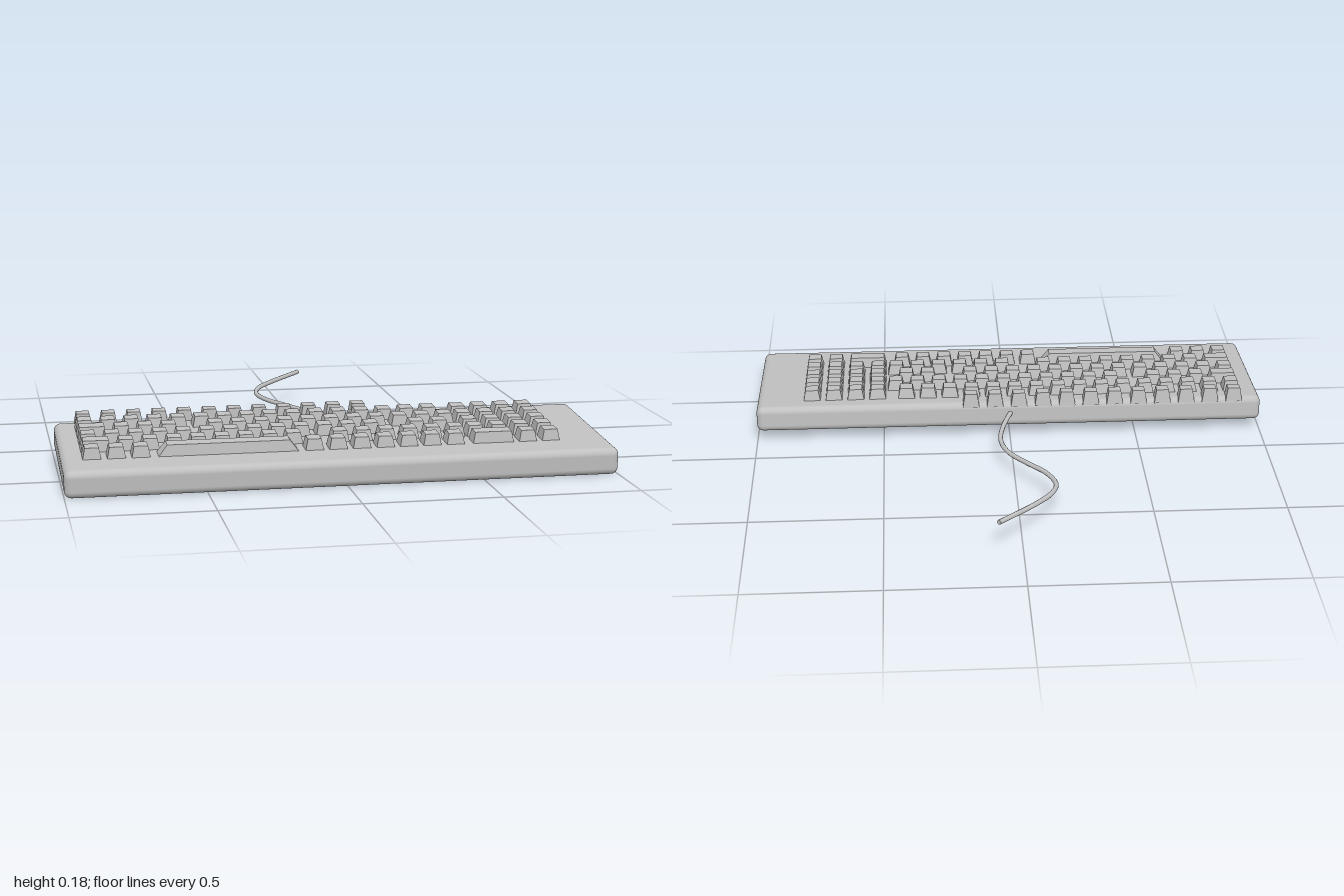
import * as THREE from 'three';
import { RoundedBoxGeometry } from 'three/addons/geometries/RoundedBoxGeometry.js';

const TILT = 0.07;      // body slopes up towards the back
const CENTRE_Z = 0.455;
const PITCH = 0.0867;   // distance between neighbouring keys

// Tapered key cap: a box whose top is drawn in at the sides and ends
function keyGeometry(width, depth, insetX = 0.011, insetZ = 0.01) {
  const base = 0.035, top = 0.09;
  const g = new THREE.BoxGeometry(width, top - base, depth);
  g.translate(0, (top + base) / 2, 0);
  const p = g.attributes.position;
  for (let i = 0; i < p.count; i++) {
    if (p.getY(i) < 0.06) continue;
    p.setX(i, p.getX(i) - Math.sign(p.getX(i)) * insetX);
    p.setZ(i, p.getZ(i) - Math.sign(p.getZ(i)) * insetZ);
  }
  g.computeVertexNormals();
  return g;
}

export function createModel() {
  const model = new THREE.Group();
  model.name = 'keyboard';
  const grey = new THREE.MeshStandardMaterial({ color: 0xc0c0c0 });
  grey.name = 'light grey plastic';

  const board = new THREE.Group();
  board.name = 'board';
  board.position.set(0, 0.071, CENTRE_Z);
  board.rotation.x = TILT;
  model.add(board);

  // Rounded case
  const body = new THREE.Mesh(new RoundedBoxGeometry(2, 0.1, 0.628, 4, 0.026), grey);
  body.name = 'case';
  board.add(body);

  const addKey = (name, geometry, x, z) => {
    const key = new THREE.Mesh(geometry, grey);
    key.name = name;
    key.position.set(x, 0, z - CENTRE_Z - 0.005);
    board.add(key);
  };
  const square = keyGeometry(0.072, 0.074);
  const run = (x, z, count) => {
    for (let i = 0; i < count; i++) addKey('key', square, x + i * PITCH, z);
  };

  // Row of small keys along the back edge
  const small = keyGeometry(0.066, 0.054, 0.009, 0.005);
  for (let i = 0; i < 12; i++) addKey('smallKey', small, -0.892 + i * 0.095, 0.169);

  // Main rows: z, then runs of [first x, count]
  const rows = [
    [0.253, [[-0.893, 16], [0.522, 4]]],
    [0.34, [[-0.764, 3], [-0.418, 11], [0.522, 4]]],
    [0.427, [[-0.893, 13], [0.32, 2], [0.522, 4]]],
    [0.513, [[-0.764, 8], [0.014, 6], [0.522, 4]]],
    [0.6, [[-0.893, 3], [-0.097, 7], [0.695, 2]]],
  ];
  for (const [z, runs] of rows) for (const [x, count] of runs) run(x, z, count);

  // Wide keys and the space bar
  const wide = keyGeometry(0.114, 0.074);
  for (const z of [0.34, 0.513]) addKey('wideKey', wide, -0.872, z);
  addKey('doubleKey', keyGeometry(0.158, 0.074), 0.565, 0.6);
  addKey('spaceBar', keyGeometry(0.525, 0.074, 0.042), -0.407, 0.6);

  // Cable winding away from the back
  const points = [
    [-0.02, 0.105, 0.18], [0, 0.098, 0.14], [0.032, 0.087, 0.05], [0.046, 0.08, -0.05],
    [0.022, 0.08, -0.15], [-0.04, 0.086, -0.25], [-0.11, 0.093, -0.35], [-0.139, 0.1, -0.45],
    [-0.118, 0.107, -0.53], [-0.06, 0.112, -0.61], [0.088, 0.124, -0.765],
  ].map((p) => new THREE.Vector3(...p));
  const curve = new THREE.CatmullRomCurve3(points);
  const cable = new THREE.Mesh(new THREE.TubeGeometry(curve, 80, 0.009, 10), grey);
  cable.name = 'cable';
  model.add(cable);

  const tip = new THREE.Mesh(new THREE.CircleGeometry(0.009, 10), grey);
  tip.name = 'cableEnd';
  tip.position.copy(curve.getPoint(1));
  tip.quaternion.setFromUnitVectors(new THREE.Vector3(0, 0, 1), curve.getTangent(1));
  model.add(tip);

  return model;
}
